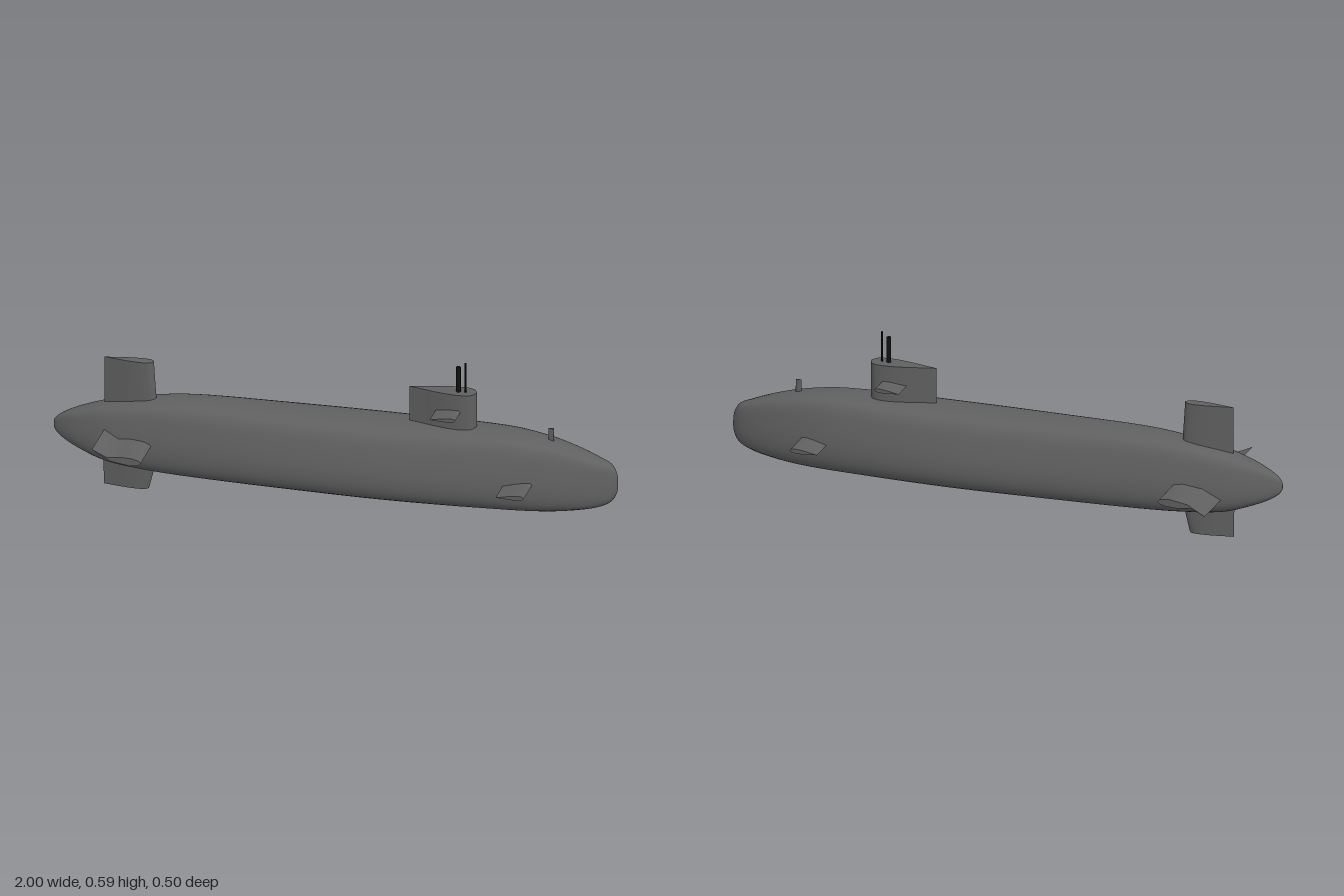
import * as THREE from 'three';
import { toCreasedNormals } from 'three/addons/utils/BufferGeometryUtils.js';

const steel = new THREE.MeshStandardMaterial({ color: 0x606060 });
const black = new THREE.MeshStandardMaterial({ color: 0x111111 });
const V2 = (p) => new THREE.Vector2(p[0], p[1]);

// Hull stations: x, half width, keel height, deck height
const stations = [
  [-1, 0, 0.205, 0.215], [-0.97, 0.024, 0.165, 0.25], [-0.9, 0.055, 0.132, 0.282], [-0.8, 0.083, 0.1, 0.312],
  [-0.65, 0.104, 0.085, 0.34], [-0.5, 0.118, 0.08, 0.354], [-0.2, 0.136, 0.078, 0.355], [0.2, 0.145, 0.076, 0.355],
  [0.6, 0.121, 0.077, 0.355], [0.75, 0.098, 0.08, 0.337], [0.85, 0.076, 0.09, 0.312], [0.93, 0.051, 0.105, 0.284],
  [0.98, 0.027, 0.13, 0.26], [1, 0, 0.188, 0.2]];
const angles = stations.map((s) => Math.acos(-s[0]));

// Hermite interpolation of one station column; t runs 0 (stern) to PI (bow)
function hullAt(t, col) {
  const n = stations.length - 1;
  let i = 0;
  while (i < n - 1 && t > angles[i + 1]) i++;
  const slope = (k) => {
    const a = Math.max(k - 1, 0), b = Math.min(k + 1, n);
    return (stations[b][col] - stations[a][col]) / (angles[b] - angles[a]);
  };
  const h = angles[i + 1] - angles[i], u = (t - angles[i]) / h, u2 = u * u, u3 = u2 * u;
  return (2 * u3 - 3 * u2 + 1) * stations[i][col] + (u3 - 2 * u2 + u) * h * slope(i)
    + (3 * u2 - 2 * u3) * stations[i + 1][col] + (u3 - u2) * h * slope(i + 1);
}

// Half cross-section, keel to deck: share of width, share of height
const section = new THREE.SplineCurve([[0, 0], [0.45, 0.02], [0.72, 0.06], [0.9, 0.13], [0.98, 0.23], [1, 0.34],
  [0.98, 0.46], [0.92, 0.6], [0.82, 0.77], [0.74, 0.86], [0.63, 0.93], [0.42, 0.98], [0, 1]].map(V2)).getPoints(24);
const ringShape = [...section, ...section.slice(1, -1).reverse().map((p) => new THREE.Vector2(-p.x, p.y))];

function hullGeometry() {
  const rings = 72, m = ringShape.length, pos = [], idx = [];
  for (let i = 0; i <= rings; i++) {
    const t = (i / rings) * Math.PI;
    const w = hullAt(t, 1), lo = hullAt(t, 2), hi = hullAt(t, 3);
    for (const p of ringShape) pos.push(-Math.cos(t), lo + p.y * (hi - lo), p.x * w);
  }
  for (let i = 0; i < rings; i++) {
    for (let j = 0; j < m; j++) {
      const a = i * m + j, b = i * m + (j + 1) % m;
      idx.push(a, a + m, b, b, a + m, b + m);
    }
  }
  const g = new THREE.BufferGeometry();
  g.setAttribute('position', new THREE.Float32BufferAttribute(pos, 3));
  g.setIndex(idx);
  g.computeVertexNormals();
  return g;
}

// x of the bow surface at a given height and side offset
function bowX(y, z) {
  let a = angles[8], b = Math.PI;
  for (let k = 0; k < 30; k++) {
    const t = (a + b) / 2, lo = hullAt(t, 2), v = (y - lo) / (hullAt(t, 3) - lo);
    let half = 0;
    for (let i = 0; i < section.length - 1; i++) {
      const p = section[i], q = section[i + 1];
      if (v >= p.y && v <= q.y) half = p.x + (q.x - p.x) * (v - p.y) / (q.y - p.y || 1);
    }
    if (half * hullAt(t, 1) > z) a = t; else b = t;
  }
  return -Math.cos(a);
}

// Round tube door laid on the bow surface
function doorGeometry(y, z) {
  const g = new THREE.RingGeometry(0.0005, 0.0145, 28, 4).rotateY(Math.PI / 2);
  const p = g.attributes.position;
  for (let i = 0; i < p.count; i++) {
    const py = y + p.getY(i), pz = z + p.getZ(i);
    p.setXYZ(i, bowX(py, Math.abs(pz)) + 0.005, py, pz);
  }
  g.computeVertexNormals();
  return g;
}

// Foil outline from a sharp tail to a rounded nose
function foilOutline(tail, nose, half) {
  const c = nose - tail;
  const side = new THREE.SplineCurve([[0, 0], [0.25, 0.42], [0.5, 0.82], [0.75, 1], [0.93, 0.78], [1, 0]]
    .map(([u, v]) => new THREE.Vector2(tail + u * c, v * half))).getPoints(20);
  return [...side, ...side.slice(1, -1).reverse().map((p) => new THREE.Vector2(p.x, -p.y))];
}

// Outline swept along +z from z0 to z1
function sweep(points, z0, z1) {
  const g = new THREE.ExtrudeGeometry(new THREE.Shape(points), { depth: z1 - z0, bevelEnabled: false, steps: 1 });
  return g.translate(0, 0, z0);
}

export function createModel() {
  const model = new THREE.Group();
  const add = (name, geometry, material = steel) => {
    const mesh = new THREE.Mesh(geometry, material);
    mesh.name = name;
    model.add(mesh);
    return mesh;
  };
  const crease = (g) => toCreasedNormals(g, 0.6);
  // Upright foil, its far end scaled about a fixed x
  const upright = (name, tail, nose, half, y0, y1, tipY, taper, fixedX) => {
    const g = sweep(foilOutline(tail, nose, half), y0, y1).rotateX(-Math.PI / 2);
    const p = g.attributes.position;
    for (let i = 0; i < p.count; i++) {
      if (Math.abs(p.getY(i) - tipY) < 1e-4) {
        p.setX(i, fixedX + (p.getX(i) - fixedX) * taper);
        p.setZ(i, p.getZ(i) * taper);
      }
    }
    add(name, crease(g));
  };

  add('hull', hullGeometry());

  // Sail and its masts
  upright('sail', 0.26, 0.5, 0.037, 0.3, 0.483, 0.483, 1, 0);
  [['periscope', 0.435, 0.008, 0.575], ['antenna', 0.46, 0.003, 0.592]].forEach(([name, x, r, top]) => {
    add(name, new THREE.CylinderGeometry(r, r, top - 0.45, 16), black).position.set(x, (top + 0.45) / 2, 0.003);
  });

  // Rudders and the small foredeck fin
  upright('upperRudder', -0.82, -0.63, 0.021, 0.25, 0.477, 0.477, 0.92, -0.82);
  upright('lowerRudder', -0.825, -0.62, 0.021, 0, 0.17, 0, 0.78, -0.812);
  upright('foredeckFin', 0.752, 0.774, 0.0035, 0.3, 0.378, 0.378, 0.9, 0.763);

  // Stern planes, flaps turned opposite ways
  const flapped = [[-0.803, 0.037], [-0.75, 0.013], [-0.7, 0.019], [-0.66, 0.017], [-0.638, 0.011], [-0.63, 0.003],
    [-0.638, -0.006], [-0.67, -0.011], [-0.74, 0.001]];
  for (const s of [1, -1]) {
    const side = s > 0 ? 'left' : 'right';
    const outline = flapped.map(([x, y]) => new THREE.Vector2(x, 0.2 + s * y));
    add(side === 'left' ? 'rightSternPlane' : 'leftSternPlane',
      crease(sweep(outline, s > 0 ? 0 : -0.25, s > 0 ? 0.25 : 0)));
  }

  // Bow planes and sail planes, slightly nose-up
  for (const [name, tail, nose, half, y, span] of [
    ['BowPlane', 0.62, 0.72, 0.008, 0.199, 0.218], ['SailPlane', 0.36, 0.45, 0.007, 0.417, 0.111]]) {
    for (const s of [1, -1]) {
      const outline = foilOutline(tail, nose, half).map((p) => new THREE.Vector2(p.x, p.y + y + (p.x - (tail + nose) / 2) * 0.06));
      add((s > 0 ? 'right' : 'left') + name, crease(sweep(outline, s > 0 ? 0 : -span, s > 0 ? span : 0)));
    }
  }

  // Tube doors on both sides of the bow
  for (const s of [1, -1]) {
    add('upperTubeDoor', doorGeometry(0.149, s * 0.082));
    add('lowerTubeDoor', doorGeometry(0.12, s * 0.062));
  }
  return model;
}
